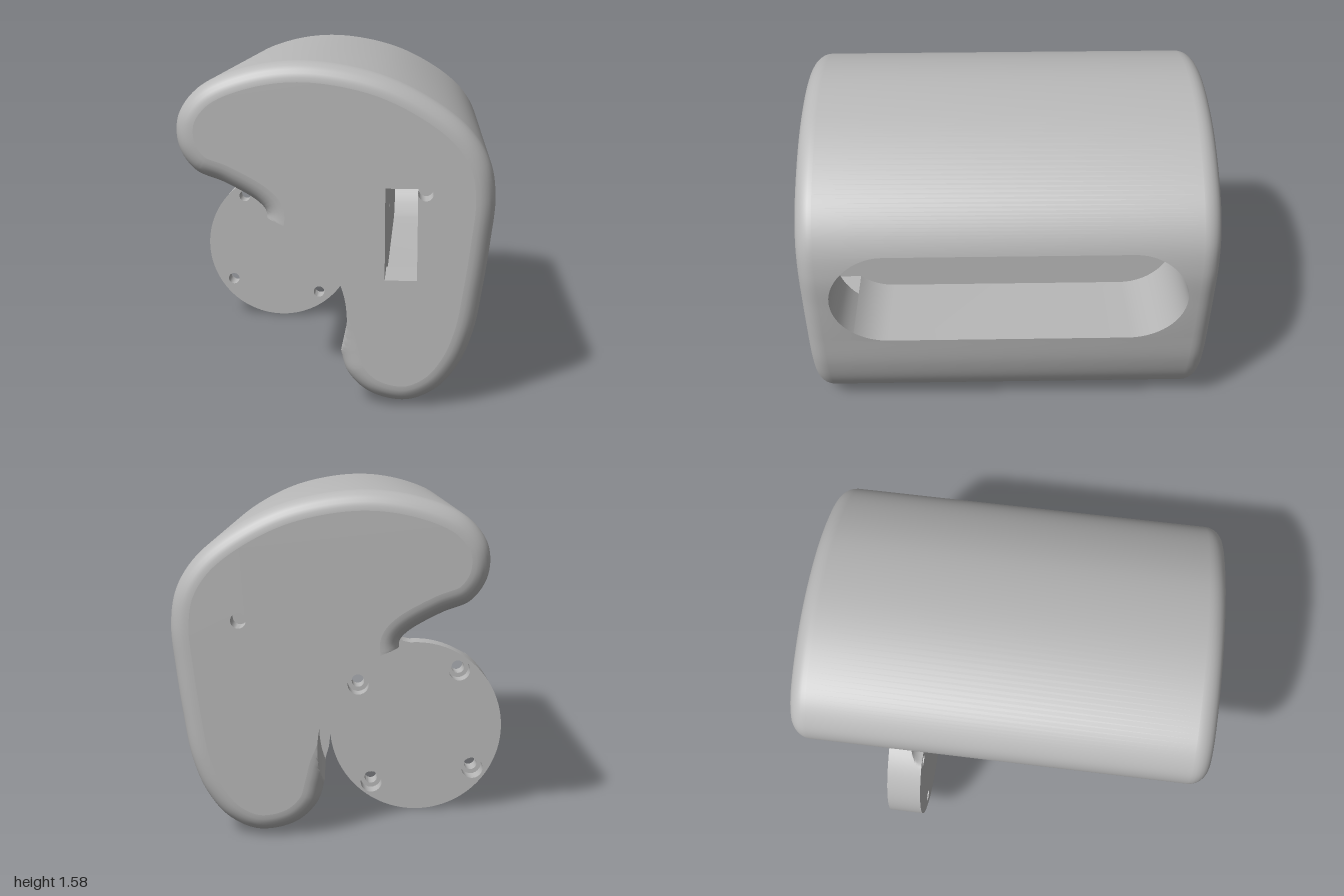
import * as THREE from 'three';
import { toCreasedNormals } from 'three/addons/utils/BufferGeometryUtils.js';

const CX = -0.36, CY = 0.42;             // axis of the round plate
const CRADLE = 0.47, PLATE = 0.417;      // radii of the cradle and the plate
const FILLET = 0.09, ZS = 1 - FILLET;    // rounded end edges
const SLOT_Y = 0.82, SLOT_R = 0.27, SLOT_Z = 0.59, FLOOR = 0.28;
const WIN = { x0: FLOOR, x1: 0.425, h: 0.21 };
const SCREW_R = 0.03, SCREW_Z = 0.41;
const PIN = [0.46, 1.01], PIN_R = 0.035, PIN_D = 0.12;

// Body profile, counter-clockwise; the stretch inside the cradle is pushed out to its radius
const profile = [
  [0.078, 0.25], [0.11, 0.15], [0.21, 0.055], [0.38, 0.02], [0.52, 0.08], [0.62, 0.2], [0.685, 0.36],
  [0.722, 0.56], [0.752, 0.78], [0.77, 0.98], [0.745, 1.14], [0.66, 1.28], [0.5, 1.41], [0.25, 1.53],
  [-0.08, 1.587], [-0.35, 1.555], [-0.56, 1.465], [-0.655, 1.34], [-0.655, 1.2], [-0.58, 1.09],
  [-0.45, 1.035], [-0.3, 0.95], [-0.262, 0.905], [-0.265, 0.85], [-0.26, 0.79], [-0.18, 0.72],
  [-0.06, 0.6], [0, 0.46], [0.055, 0.34],
];
const curve = new THREE.CatmullRomCurve3(profile.map(([x, y]) => new THREE.Vector3(x, y, 0)), true);

// Point on the profile at t, moved inwards by d
function section(t, d) {
  const p = curve.getPoint(t), g = curve.getTangent(t);
  let x = p.x - g.y * d, y = p.y + g.x * d;
  const r = Math.hypot(x - CX, y - CY);
  if (r < CRADLE) {
    x = CX + (x - CX) * CRADLE / r;
    y = CY + (y - CY) * CRADLE / r;
  }
  return [x, y];
}

// Parameter between control points i0 and i1 where the profile reaches height y
function paramAt(i0, i1, y) {
  let a = i0 / profile.length, b = i1 / profile.length;
  const rising = section(b, 0)[1] > section(a, 0)[1];
  for (let k = 0; k < 40; k++) {
    const m = (a + b) / 2;
    if ((section(m, 0)[1] < y) === rising) a = m; else b = m;
  }
  return a;
}

// Collects triangles for one mesh
function builder() {
  const pos = [];
  const tri = (a, b, c) => pos.push(...a, ...b, ...c);
  const quad = (a, b, c, d) => { tri(a, b, c); tri(a, c, d); };
  // flat face with holes; place maps 2D to 3D, up chooses the winding
  const face = (outline, holes, place, up) => {
    const v = (l) => l.map(([x, y]) => new THREE.Vector2(x, y));
    const o = v(outline), h = holes.map(v);
    const all = [...o, ...h.flat()];
    for (const [i, j, k] of THREE.ShapeUtils.triangulateShape(o, h)) {
      const [a, b, c] = [all[i], all[j], all[k]];
      const ccw = (b.x - a.x) * (c.y - a.y) - (b.y - a.y) * (c.x - a.x) > 0;
      const q = [a, b, c].map((p) => place(p.x, p.y));
      if (ccw === up) tri(q[0], q[1], q[2]); else tri(q[0], q[2], q[1]);
    }
  };
  // inward-facing wall of a hole along z
  const bore = (loop, z0, z1) => loop.forEach((a, i) => {
    const b = loop[(i + 1) % loop.length];
    quad([...a, z0], [...a, z1], [...b, z1], [...b, z0]);
  });
  const mesh = (name, material) => {
    const g = new THREE.BufferGeometry();
    g.setAttribute('position', new THREE.Float32BufferAttribute(pos, 3));
    const m = new THREE.Mesh(toCreasedNormals(g, 0.55), material);
    m.name = name;
    return m;
  };
  return { quad, face, bore, mesh };
}

const circle = (x, y, r, n = 24) => Array.from({ length: n }, (_, i) => {
  const a = i / n * Math.PI * 2;
  return [x + r * Math.cos(a), y + r * Math.sin(a)];
});

// Rows along the profile; rows across an opening list the z values where it starts and ends
function makeRows() {
  const steps = (n) => Array.from({ length: n + 1 }, (_, i) => Math.PI * i / n);
  const turn = Math.acos(WIN.h / SLOT_R);
  const slot = [...steps(28), turn, Math.PI - turn].sort((a, b) => a - b).map((a) => {
    const y = SLOT_Y - SLOT_R * Math.cos(a), h = SLOT_Z + SLOT_R * Math.sin(a);
    return { t: paramAt(6, 10, y), y, h, kind: 'slot', gaps: [-h, h] };
  });
  const screw = steps(12).map((a) => {
    const y = SLOT_Y + SCREW_R * Math.cos(a), h = SCREW_R * Math.sin(a);
    return { t: paramAt(24, 26, y), y, h, kind: 'screw',
      gaps: [-SCREW_Z - h, -SCREW_Z + h, SCREW_Z - h, SCREW_Z + h] };
  });
  const inside = (t, l) => t > l[0].t - 1e-4 && t < l[l.length - 1].t + 1e-4;
  const n = profile.length * 9, plain = [];
  for (let i = 0; i < n; i++) {
    if (!inside(i / n, slot) && !inside(i / n, screw)) plain.push({ t: i / n, kind: '', gaps: [] });
  }
  const rows = [...plain, ...slot, ...screw].sort((a, b) => a.t - b.t);
  return { rows, slot, screw };
}

export function createModel() {
  const group = new THREE.Group();
  const grey = new THREE.MeshStandardMaterial({ color: 0xb8b8b8, side: THREE.DoubleSide });
  grey.name = 'plain grey';
  const { rows, slot, screw } = makeRows();

  // Outer shell with rounded ends
  const shell = builder();
  rows.forEach((r, i) => {
    const s = rows[(i + 1) % rows.length];
    const a = section(r.t, 0), b = section(s.t, 0);
    const open = r.kind && r.kind === s.kind;
    const za = [-ZS, ...(open ? r.gaps : []), ZS], zb = [-ZS, ...(open ? s.gaps : []), ZS];
    for (let k = 0; k < za.length; k += 2) {
      shell.quad([...a, za[k]], [...b, zb[k]], [...b, zb[k + 1]], [...a, za[k + 1]]);
    }
    const N = 7;
    for (let k = 0; k < N; k++) {
      const [u, v] = [k, k + 1].map((q) => q / N * Math.PI / 2);
      const [d, e] = [u, v].map((q) => FILLET * (1 - Math.cos(q)));
      const [z, w] = [u, v].map((q) => ZS + FILLET * Math.sin(q));
      const [p, q, m, o] = [section(r.t, d), section(s.t, d), section(s.t, e), section(r.t, e)];
      shell.quad([...p, z], [...q, z], [...m, w], [...o, w]);
      shell.quad([...o, -w], [...m, -w], [...q, -z], [...p, -z]);
    }
  });
  group.add(shell.mesh('bodyShell', grey));

  // Flat ends with the window and the blind pin holes
  const ends = builder();
  const rim = rows.map((r) => section(r.t, FILLET));
  const pin = circle(...PIN, PIN_R);
  const lo = SLOT_Y - WIN.h, hi = SLOT_Y + WIN.h;
  const window = [[WIN.x0, lo], [WIN.x1, lo], [WIN.x1, hi], [WIN.x0, hi]];
  for (const s of [1, -1]) {
    ends.face(rim, s > 0 ? [window, pin] : [pin], (x, y) => [x, y, s], s > 0);
    ends.face(pin, [], (x, y) => [x, y, s * (1 - PIN_D)], s > 0);
    ends.bore(pin, s > 0 ? 1 - PIN_D : -1, s > 0 ? 1 : PIN_D - 1);
  }
  group.add(ends.mesh('bodyEnds', grey));

  // Side slot, with the front window breaking into its end
  const pocket = builder();
  for (let i = 0; i < slot.length - 1; i++) {
    const a = slot[i], b = slot[i + 1];
    const xa = section(a.t, 0)[0], xb = section(b.t, 0)[0];
    const mid = (a.y + b.y) / 2, cut = mid > lo && mid < hi;
    const x0 = cut ? WIN.x1 : FLOOR;
    pocket.quad([x0, a.y, a.h], [x0, b.y, b.h], [xb, b.y, b.h], [xa, a.y, a.h]);
    pocket.quad([FLOOR, a.y, -a.h], [xa, a.y, -a.h], [xb, b.y, -b.h], [FLOOR, b.y, -b.h]);
    if (cut) {
      pocket.quad([WIN.x0, a.y, 1], [WIN.x0, a.y, a.h], [WIN.x0, b.y, b.h], [WIN.x0, b.y, 1]);
      pocket.quad([WIN.x1, a.y, a.h], [WIN.x1, a.y, 1], [WIN.x1, b.y, 1], [WIN.x1, b.y, b.h]);
    }
  }
  const zw = SLOT_Z + Math.sqrt(SLOT_R ** 2 - WIN.h ** 2);
  pocket.quad([WIN.x0, lo, zw], [WIN.x0, lo, 1], [WIN.x1, lo, 1], [WIN.x1, lo, zw]);
  pocket.quad([WIN.x0, hi, zw], [WIN.x1, hi, zw], [WIN.x1, hi, 1], [WIN.x0, hi, 1]);
  const first = slot[0], last = slot[slot.length - 1], Z = SLOT_Z;
  const xf = section(first.t, 0)[0], xl = section(last.t, 0)[0];
  pocket.quad([FLOOR, first.y, -Z], [FLOOR, first.y, Z], [xf, first.y, Z], [xf, first.y, -Z]);
  pocket.quad([FLOOR, last.y, -Z], [xl, last.y, -Z], [xl, last.y, Z], [FLOOR, last.y, Z]);
  const floor = [...slot.map((r) => [r.h, r.y]), ...[...slot].reverse().map((r) => [-r.h, r.y])];
  const screws = [1, -1].map((s) => circle(s * SCREW_Z, SLOT_Y, SCREW_R));
  pocket.face(floor, screws, (z, y) => [FLOOR, y, z], false);
  group.add(pocket.mesh('sideSlot', grey));

  // Screw holes from the slot floor to the cradle
  const bores = builder();
  for (const z of [SCREW_Z, -SCREW_Z]) for (const s of [1, -1]) {
    for (let i = 0; i < screw.length - 1; i++) {
      const [a, b] = s > 0 ? [screw[i], screw[i + 1]] : [screw[i + 1], screw[i]];
      const xa = section(a.t, 0)[0], xb = section(b.t, 0)[0];
      bores.quad([xa, a.y, z + s * a.h], [xb, b.y, z + s * b.h], [FLOOR, b.y, z + s * b.h], [FLOOR, a.y, z + s * a.h]);
    }
  }
  group.add(bores.mesh('screwHoles', grey));

  // Round mounting plate with its bridge to the body
  const arc = (r, from, to, n) => Array.from({ length: n + 1 }, (_, i) => {
    const a = THREE.MathUtils.degToRad(from + (to - from) * i / n);
    return [CX + r * Math.cos(a), CY + r * Math.sin(a)];
  });
  const outline = [...arc(CRADLE + 0.004, -21, 77.5, 40), [-0.272, 0.862], [-0.295, 0.844],
    ...arc(PLATE, 86, 355, 90), [0.062, 0.32]];
  const BACK = -0.585, FRONT = -0.41, SCOOP = 0.065;
  const clip = (top) => outline.map(([x, y]) => [x, Math.min(y, top)]);
  const layers = [[BACK, 9], [FRONT - SCOOP, 9]];
  // scoop along the upper front edge, clearing the screw
  for (let k = 0; k <= 8; k++) {
    const a = k / 8 * Math.PI / 2;
    layers.push([FRONT - SCOOP * Math.cos(a), SLOT_Y - SCOOP * Math.sin(a)]);
  }
  const plate = builder();
  for (let k = 0; k < layers.length - 1; k++) {
    const [z, w] = [layers[k][0], layers[k + 1][0]];
    const [p, q] = [clip(layers[k][1]), clip(layers[k + 1][1])];
    p.forEach((a, i) => {
      const j = (i + 1) % p.length;
      plate.quad([...a, z], [...p[j], z], [...q[j], w], [...q[i], w]);
    });
  }
  const bolts = [[-0.57, 0.7], [-0.08, 0.63], [-0.64, 0.21], [-0.145, 0.14]];
  const small = bolts.map(([x, y]) => circle(x, y, 0.031));
  const wide = bolts.map(([x, y]) => circle(x, y, 0.052));
  const STEP = BACK + 0.08;
  plate.face(clip(SLOT_Y - SCOOP), small, (x, y) => [x, y, FRONT], true);
  plate.face(outline, wide, (x, y) => [x, y, BACK], false);
  bolts.forEach((_, i) => {
    plate.bore(small[i], STEP, FRONT);
    plate.bore(wide[i], BACK, STEP);
    plate.face(wide[i], [small[i]], (x, y) => [x, y, STEP], false);
  });
  group.add(plate.mesh('mountingPlate', grey));
  return group;
}
